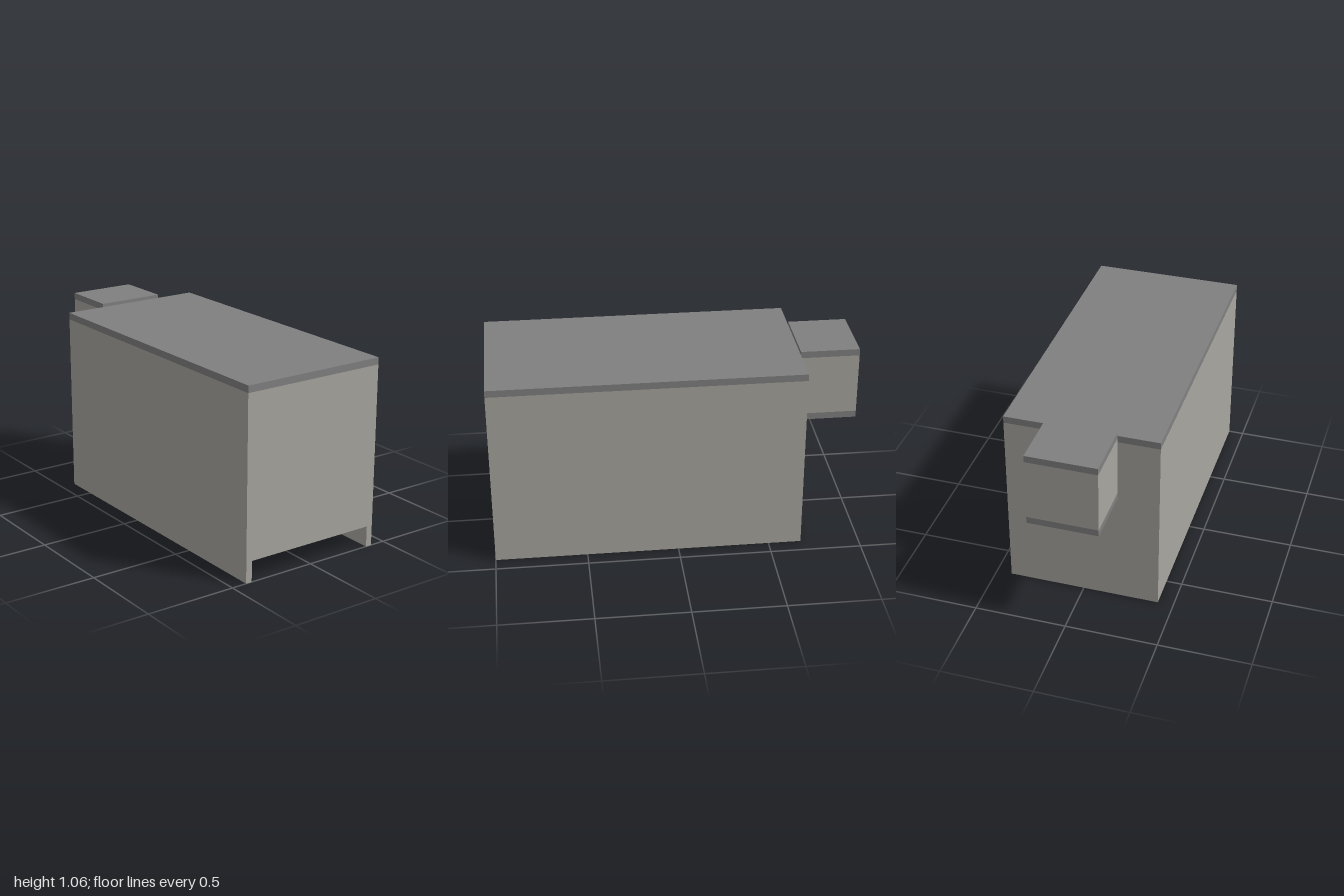
import * as THREE from 'three';
import { mergeGeometries } from 'three/addons/utils/BufferGeometryUtils.js';

const HALF_W = 0.415, BACK = -0.68, FRONT = 1, BODY_TOP = 1.0;
const NOTCH_W = 0.38, NOTCH_TOP = 0.115, NOTCH_BACK = 0.34;

// Flat outline: a rectangle from y0 to y1 with a notch cut into one edge
function notched(y0, y1, edge, notchTo) {
  const pts = edge === y0
    ? [[-HALF_W, y0], [-NOTCH_W, y0], [-NOTCH_W, notchTo], [NOTCH_W, notchTo],
       [NOTCH_W, y0], [HALF_W, y0], [HALF_W, y1], [-HALF_W, y1]]
    : [[-HALF_W, y0], [HALF_W, y0], [HALF_W, y1], [NOTCH_W, y1],
       [NOTCH_W, notchTo], [-NOTCH_W, notchTo], [-NOTCH_W, y1], [-HALF_W, y1]];
  return new THREE.ShapeGeometry(new THREE.Shape(pts.map(p => new THREE.Vector2(...p))));
}

// Upright wall in the y-z plane, facing +x (dir 1) or -x (dir -1)
function sideWall(x, y0, y1, z0, z1, dir) {
  return new THREE.PlaneGeometry(z1 - z0, y1 - y0)
    .rotateY(dir * Math.PI / 2)
    .translate(x, (y0 + y1) / 2, (z0 + z1) / 2);
}

export function createModel() {
  const group = new THREE.Group();
  const pale = new THREE.MeshStandardMaterial({ color: 0xa8a69f });
  const dark = new THREE.MeshStandardMaterial({ color: 0x808080 });

  function add(name, geometry, material) {
    const mesh = new THREE.Mesh(geometry, material);
    mesh.name = name;
    group.add(mesh);
  }
  function box(name, material, x, y0, y1, z0, z1) {
    const g = new THREE.BoxGeometry(2 * x, y1 - y0, z1 - z0);
    add(name, g.translate(0, (y0 + y1) / 2, (z0 + z1) / 2), material);
  }

  // Main body: seamless shell with a low recess opening at the front
  const faces = [
    notched(0, BODY_TOP, 0, NOTCH_TOP).translate(0, 0, FRONT),
    notched(BACK, FRONT, FRONT, NOTCH_BACK).rotateX(Math.PI / 2),
    new THREE.PlaneGeometry(2 * HALF_W, BODY_TOP).rotateY(Math.PI).translate(0, BODY_TOP / 2, BACK),
    new THREE.PlaneGeometry(2 * NOTCH_W, NOTCH_TOP).translate(0, NOTCH_TOP / 2, NOTCH_BACK),
    new THREE.PlaneGeometry(2 * NOTCH_W, FRONT - NOTCH_BACK).rotateX(Math.PI / 2)
      .translate(0, NOTCH_TOP, (FRONT + NOTCH_BACK) / 2),
  ];
  for (const s of [-1, 1]) {
    faces.push(sideWall(s * HALF_W, 0, BODY_TOP, BACK, FRONT, s));
    faces.push(sideWall(s * NOTCH_W, 0, NOTCH_TOP, NOTCH_BACK, FRONT, -s));
  }
  add('body', mergeGeometries(faces), pale);

  // Dark lid on the body and dark bar closing the recess
  box('bodyLid', dark, HALF_W, BODY_TOP, 1.038, BACK, FRONT);
  box('recessBar', dark, NOTCH_W, 0, NOTCH_TOP, NOTCH_BACK, 0.47);

  // Rear box with dark bands above and below
  box('rearBoxBase', dark, 0.19, 0.645, 0.682, -1, BACK);
  box('rearBox', pale, 0.19, 0.682, 1.02, -1, BACK);
  box('rearBoxLid', dark, 0.19, 1.02, 1.057, -1, BACK);

  return group;
}
